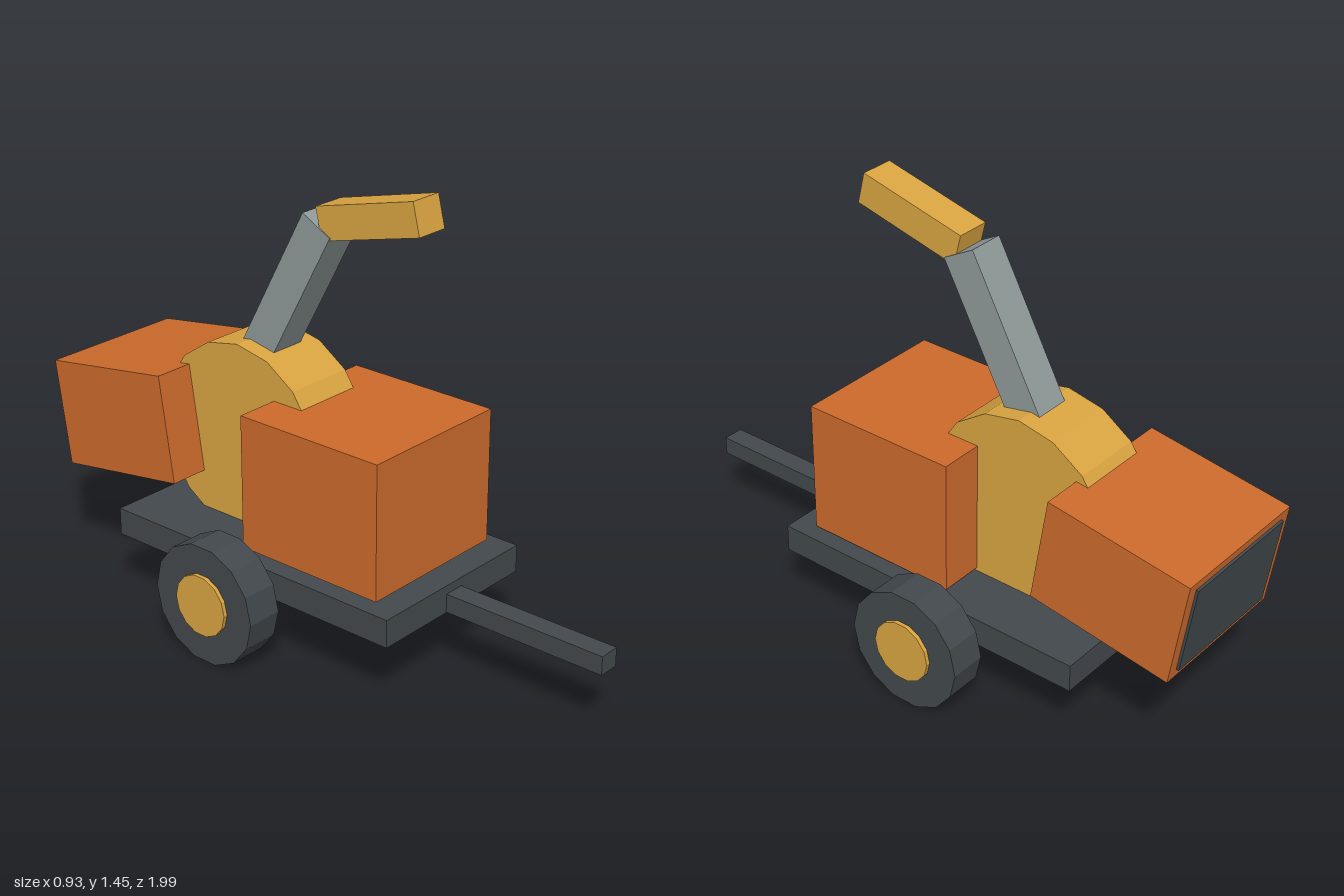
import * as THREE from 'three';

function paint(name, color) {
  const m = new THREE.MeshStandardMaterial({ color });
  m.name = name;
  return m;
}

export function createModel() {
  const orange = paint('orange', 0xcc6a2c);
  const yellow = paint('yellow', 0xd9a441);
  const dark = paint('darkGrey', 0x42484c);
  const grey = paint('lightGrey', 0x8f9a98);

  const model = new THREE.Group();
  model.name = 'towedChipper';

  // Box given by size and centre, pitched about x
  function box(name, mat, [w, h, d], [x, y, z], pitch = 0, parent = model) {
    const mesh = new THREE.Mesh(new THREE.BoxGeometry(w, h, d), mat);
    mesh.name = name;
    mesh.position.set(x, y, z);
    mesh.rotation.x = pitch;
    parent.add(mesh);
    return mesh;
  }

  // Faceted disc with its axis along x
  function disc(name, mat, radius, width, sides, [x, y, z]) {
    let geo = new THREE.CylinderGeometry(radius, radius, width, sides);
    geo.rotateZ(Math.PI / 2);
    geo = geo.toNonIndexed();
    geo.computeVertexNormals();
    const mesh = new THREE.Mesh(geo, mat);
    mesh.name = name;
    mesh.position.set(x, y, z);
    model.add(mesh);
    return mesh;
  }

  // Trailer
  box('deck', dark, [0.62, 0.09, 1.1], [0, 0.255, -0.1]);
  box('drawbar', dark, [0.07, 0.06, 0.6], [0, 0.242, 0.7]);
  for (const [side, s] of [['left', 1], ['right', -1]]) {
    disc(side + 'Wheel', dark, 0.196, 0.12, 14, [s * 0.39, 0.192, -0.147]);
    disc(side + 'Hub', yellow, 0.1, 0.13, 14, [s * 0.398, 0.194, -0.147]);
  }

  // Engine housing and chipping drum
  box('engineHousing', orange, [0.526, 0.435, 0.526], [0, 0.528, 0.107]);
  disc('drum', yellow, 0.32, 0.237, 16, [0, 0.57, -0.305]);

  // Tilted feed hopper with its dark mouth at the back
  const hopper = new THREE.Group();
  hopper.name = 'feedHopper';
  hopper.position.set(0, 0.561, -0.7245);
  hopper.rotation.x = -0.152;
  model.add(hopper);
  box('hopperBody', orange, [0.503, 0.351, 0.483], [0, 0, 0], 0, hopper);
  box('hopperMouth', dark, [0.43, 0.296, 0.009], [0, 0, -0.2455], 0, hopper);

  // Discharge chute and spout
  box('chute', grey, [0.12, 0.55, 0.118], [0, 1.067, -0.167], 0.5);
  box('spout', yellow, [0.112, 0.103, 0.37], [0, 1.3585, 0.151], -0.24);

  return model;
}
